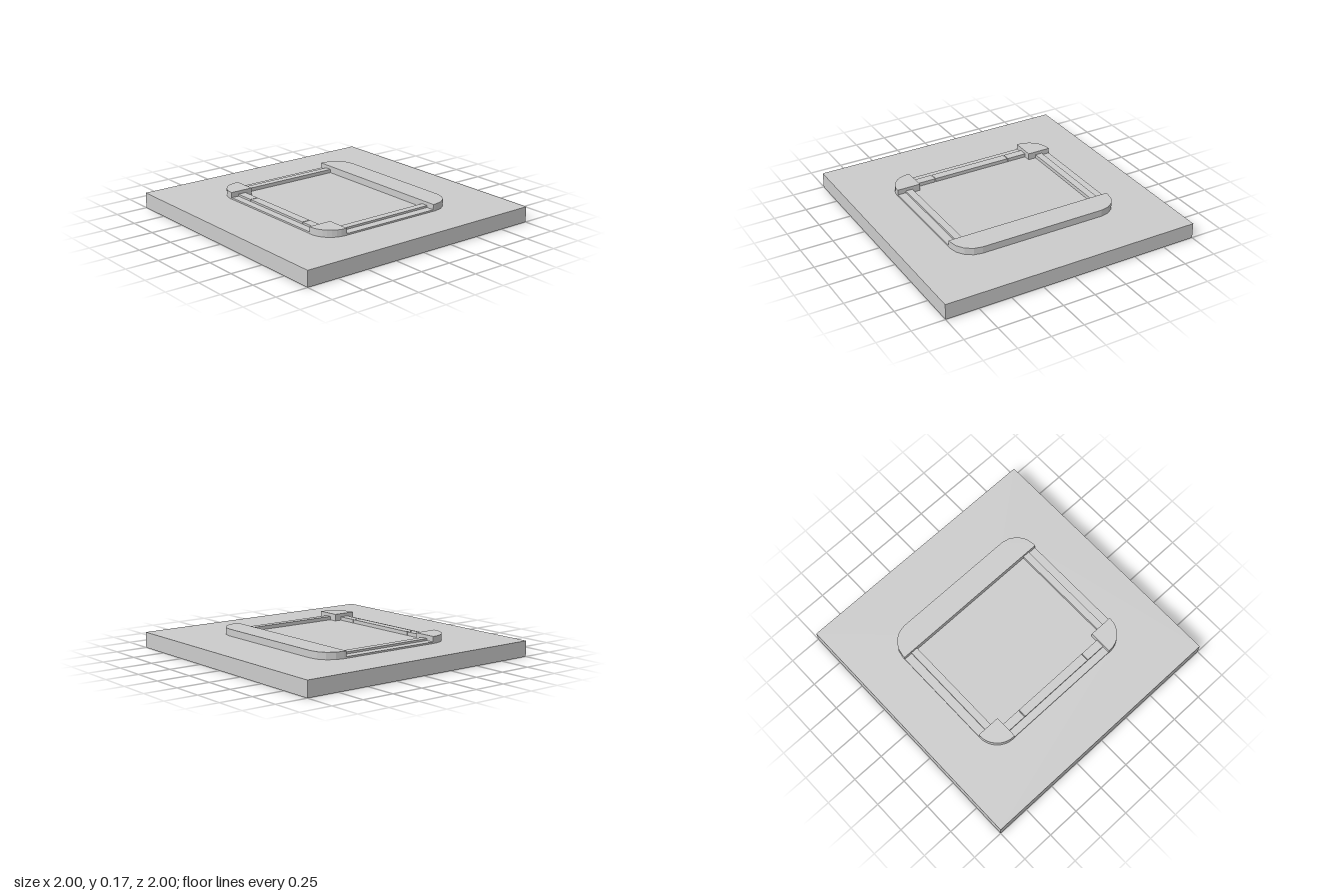
import * as THREE from 'three';

const BASE = 0.118, TOP = 0.17;
const grey = new THREE.MeshStandardMaterial({ color: 0xcccccc, side: THREE.DoubleSide });

// Outlines are lists of [x, z], counter-clockwise when seen from above
const toPoints = (outline) => outline.map(([x, z]) => new THREE.Vector2(x, -z));

const rect = (x0, x1, z0, z1) => [[x0, z1], [x1, z1], [x1, z0], [x0, z0]];

// Points of an elliptical corner around (cx, cz), angles in quarter turns
function corner(cx, cz, rx, rz, from, segments) {
  const points = [];
  for (let i = 0; i <= segments; i++) {
    const a = (from + i / segments) * Math.PI / 2;
    points.push([cx + rx * Math.cos(a), cz - rz * Math.sin(a)]);
  }
  return points;
}

// Flat sheet at a height, with optional holes
function sheet(outline, y, holes = []) {
  const shape = new THREE.Shape(toPoints(outline));
  for (const hole of holes) shape.holes.push(new THREE.Path(toPoints(hole)));
  return new THREE.Mesh(new THREE.ShapeGeometry(shape).rotateX(-Math.PI / 2).translate(0, y, 0), grey);
}

// Upright walls following an outline
function walls(outline, y0, y1) {
  const pos = [];
  outline.forEach(([ax, az], i) => {
    const [bx, bz] = outline[(i + 1) % outline.length];
    pos.push(ax, y0, az, bx, y0, bz, bx, y1, bz);
    pos.push(ax, y0, az, bx, y1, bz, ax, y1, az);
  });
  const geometry = new THREE.BufferGeometry();
  geometry.setAttribute('position', new THREE.Float32BufferAttribute(pos, 3));
  geometry.computeVertexNormals();
  return new THREE.Mesh(geometry, grey);
}

// Hollow raised block, open underneath
function shell(name, outline, y0, y1, holes) {
  const group = new THREE.Group();
  group.name = name;
  const cap = sheet(outline, y1, holes);
  cap.name = name + 'Top';
  const side = walls(outline, y0, y1);
  side.name = name + 'Walls';
  group.add(cap, side);
  return group;
}

export function createModel() {
  const model = new THREE.Group();
  model.name = 'framedSlab';

  // Raised back bar with rounded outer corners
  const backBar = [
    [-0.655, -0.4], [0.655, -0.4],
    ...corner(0.49, -0.42, 0.165, 0.168, 0, 4),
    ...corner(-0.49, -0.42, 0.165, 0.168, 1, 4),
  ];
  // Raised front corner blocks
  const leftCorner = [
    [0.655, 0.4], [0.472, 0.4], [0.472, 0.58],
    ...corner(0.485, 0.41, 0.17, 0.17, 3, 8),
  ];
  const rightCorner = leftCorner.map(([x, z]) => [-x, z]).reverse();

  // Slab, open underneath, also open below the raised blocks
  model.add(shell('slab', rect(-1, 1, -1, 1), 0, BASE, [backBar, leftCorner, rightCorner]));
  model.add(shell('backBar', backBar, BASE, TOP));
  model.add(shell('frontLeftCorner', leftCorner, BASE, TOP));
  model.add(shell('frontRightCorner', rightCorner, BASE, TOP));

  // Side rails: low outer step and higher inner step
  for (const [name, s] of [['left', 1], ['right', -1]]) {
    const span = (a, b) => rect(Math.min(a * s, b * s), Math.max(a * s, b * s), -0.4, 0.4);
    model.add(shell(name + 'RailOuterStep', span(0.59, 0.655), BASE, 0.13));
    model.add(shell(name + 'RailInnerStep', span(0.535, 0.59), BASE, 0.145));
  }

  // Front rail: low outer step, inner step split in three by narrow slits
  model.add(shell('frontRailOuterStep', rect(-0.472, 0.472, 0.52, 0.578), BASE, 0.13));
  const pieces = [[-0.472, -0.318], [-0.312, 0.312], [0.318, 0.472]];
  pieces.forEach(([x0, x1], i) => {
    model.add(shell('frontRailInnerStep' + (i + 1), rect(x0, x1, 0.455, 0.52), BASE, 0.145));
  });

  return model;
}
